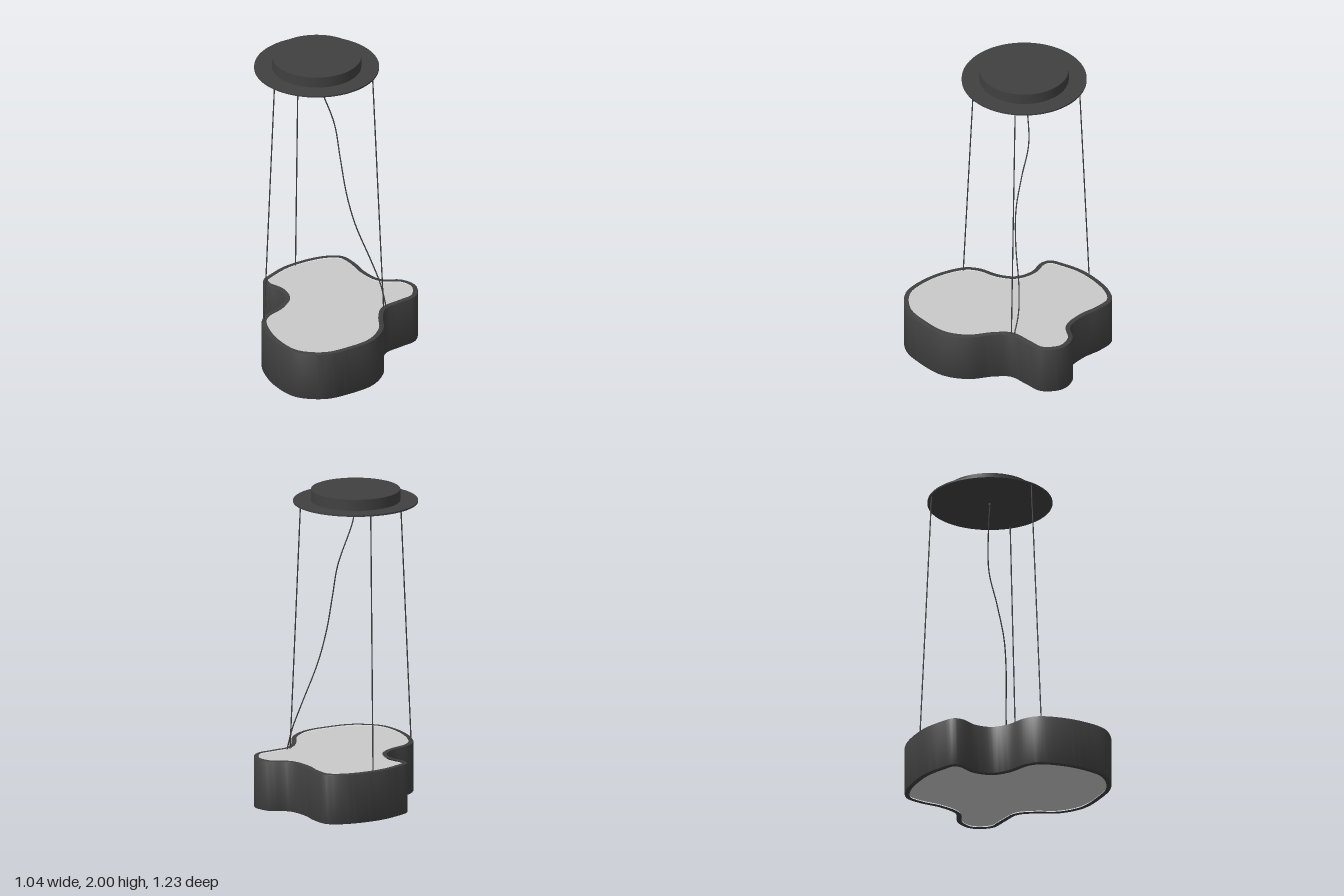
import * as THREE from 'three';
import { toCreasedNormals } from 'three/addons/utils/BufferGeometryUtils.js';

// Outer outline of the lamp body as x, z pairs seen from above
const OUTLINE = [
  [0.05, -0.617], [0.17, -0.59], [0.225, -0.49], [0.26, -0.36], [0.33, -0.245],
  [0.455, -0.205], [0.52, -0.11], [0.485, 0.02], [0.38, 0.075], [0.27, 0.13],
  [0.225, 0.23], [0.19, 0.38], [0.09, 0.51], [-0.08, 0.585], [-0.24, 0.612],
  [-0.41, 0.54], [-0.495, 0.38], [-0.523, 0.21], [-0.51, 0.09], [-0.46, 0.015],
  [-0.36, -0.06], [-0.3, -0.15], [-0.31, -0.26], [-0.37, -0.345], [-0.375, -0.41],
  [-0.315, -0.47], [-0.18, -0.56],
];
const BODY_HEIGHT = 0.315;
const WALL = 0.026;

export function createModel() {
  const group = new THREE.Group();
  const dark = new THREE.MeshStandardMaterial({ color: 0x404040 });
  dark.name = 'charcoal';
  const light = new THREE.MeshStandardMaterial({ color: 0xc9c9c9 });
  light.name = 'pale grey diffuser';

  const add = (name, geometry, material, x = 0, y = 0, z = 0) => {
    const mesh = new THREE.Mesh(geometry, material);
    mesh.name = name;
    mesh.position.set(x, y, z);
    group.add(mesh);
    return mesh;
  };

  // Smooth closed outline, and a copy moved inward along its normals
  const curve = new THREE.CatmullRomCurve3(
    OUTLINE.map(([x, z]) => new THREE.Vector3(x, -z, 0)), true, 'centripetal');
  const N = 180;
  const outline = (inset) => Array.from({ length: N }, (_, i) => {
    const p = curve.getPointAt(i / N), t = curve.getTangentAt(i / N);
    return new THREE.Vector2(p.x + t.y * inset, p.y - t.x * inset);
  });
  const extrudeUp = (shape, depth, bevel) => {
    const g = new THREE.ExtrudeGeometry(shape, {
      depth: depth - 2 * bevel, bevelEnabled: bevel > 0, bevelSize: bevel,
      bevelThickness: bevel, bevelOffset: -bevel, bevelSegments: 2,
    });
    g.translate(0, 0, bevel);
    g.rotateX(-Math.PI / 2);
    return toCreasedNormals(g, 0.6);
  };

  // Curved body wall, open at top and bottom
  const wall = new THREE.Shape(outline(0));
  wall.holes.push(new THREE.Path(outline(WALL)));
  add('bodyWall', extrudeUp(wall, BODY_HEIGHT, 0.004), dark);

  // Diffuser filling the wall, slightly recessed at both ends
  add('diffuser', extrudeUp(new THREE.Shape(outline(WALL - 0.002)), BODY_HEIGHT - 0.018, 0), light, 0, 0.009, 0);

  // Ceiling canopy: thin plate with a drum on top
  const cx = -0.108, cz = -0.123;
  add('canopyPlate', new THREE.CylinderGeometry(0.385, 0.385, 0.01, 96), dark, cx, 1.925, cz);
  add('canopyDrum', new THREE.CylinderGeometry(0.275, 0.275, 0.074, 96), dark, cx, 1.963, cz);
  add('cordGland', new THREE.CylinderGeometry(0.01, 0.008, 0.016, 16), dark, cx, 1.914, cz);

  // Three straight suspension cables
  const cables = [
    [[-0.425, 1.922, 0.07], [-0.503, 0.3, 0.115]],
    [[0.198, 1.922, 0.07], [0.256, 0.3, 0.12]],
    [[-0.13, 1.922, -0.495], [-0.13, 0.3, -0.568]],
  ];
  for (const [a, b] of cables) {
    const line = new THREE.LineCurve3(new THREE.Vector3(...a), new THREE.Vector3(...b));
    add('suspensionCable', new THREE.TubeGeometry(line, 1, 0.004, 8), dark);
  }

  // Slack power cord
  const cord = [
    [-0.11, 1.915, -0.122], [-0.088, 1.79, -0.126], [0, 1.52, -0.107], [0.024, 1.3, -0.05],
    [0.05, 1.08, 0], [0.1, 0.87, 0.024], [0.2, 0.6, 0.045], [0.25, 0.45, 0.07], [0.277, 0.3, 0.113],
  ].map((p) => new THREE.Vector3(...p));
  add('powerCord', new THREE.TubeGeometry(new THREE.CatmullRomCurve3(cord), 80, 0.004, 8), dark);

  return group;
}
